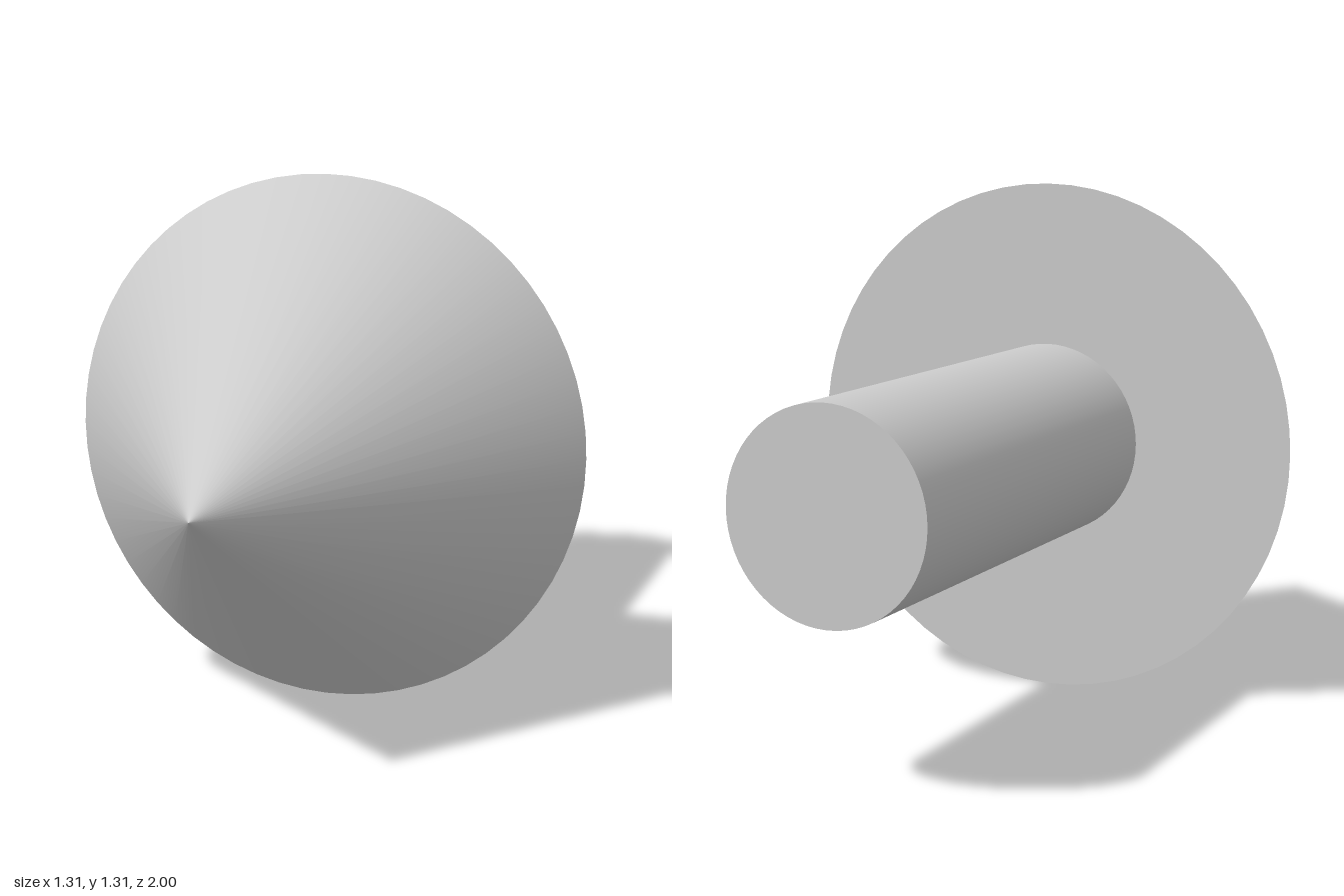
import * as THREE from 'three';

const HEAD_RADIUS = 0.654;
const SHAFT_RADIUS = 0.245;
const HEAD_BASE = 0.145; // z where the head meets the shaft
const SEGMENTS = 64;

export function createModel() {
  const group = new THREE.Group();
  group.name = 'arrow';
  const material = new THREE.MeshStandardMaterial({ color: 0xcccccc });

  // Adds a round part lying along z, from zBack to zFront
  const addRound = (name, frontRadius, backRadius, zBack, zFront) => {
    const geometry = new THREE.CylinderGeometry(frontRadius, backRadius, zFront - zBack, SEGMENTS);
    geometry.rotateX(Math.PI / 2);
    const mesh = new THREE.Mesh(geometry, material);
    mesh.name = name;
    mesh.position.set(0, HEAD_RADIUS, (zBack + zFront) / 2);
    group.add(mesh);
  };

  // Pointed head facing the front, and the shaft behind it
  addRound('arrowHead', 0, HEAD_RADIUS, HEAD_BASE, 1);
  addRound('shaft', SHAFT_RADIUS, SHAFT_RADIUS, -1, HEAD_BASE);

  return group;
}
